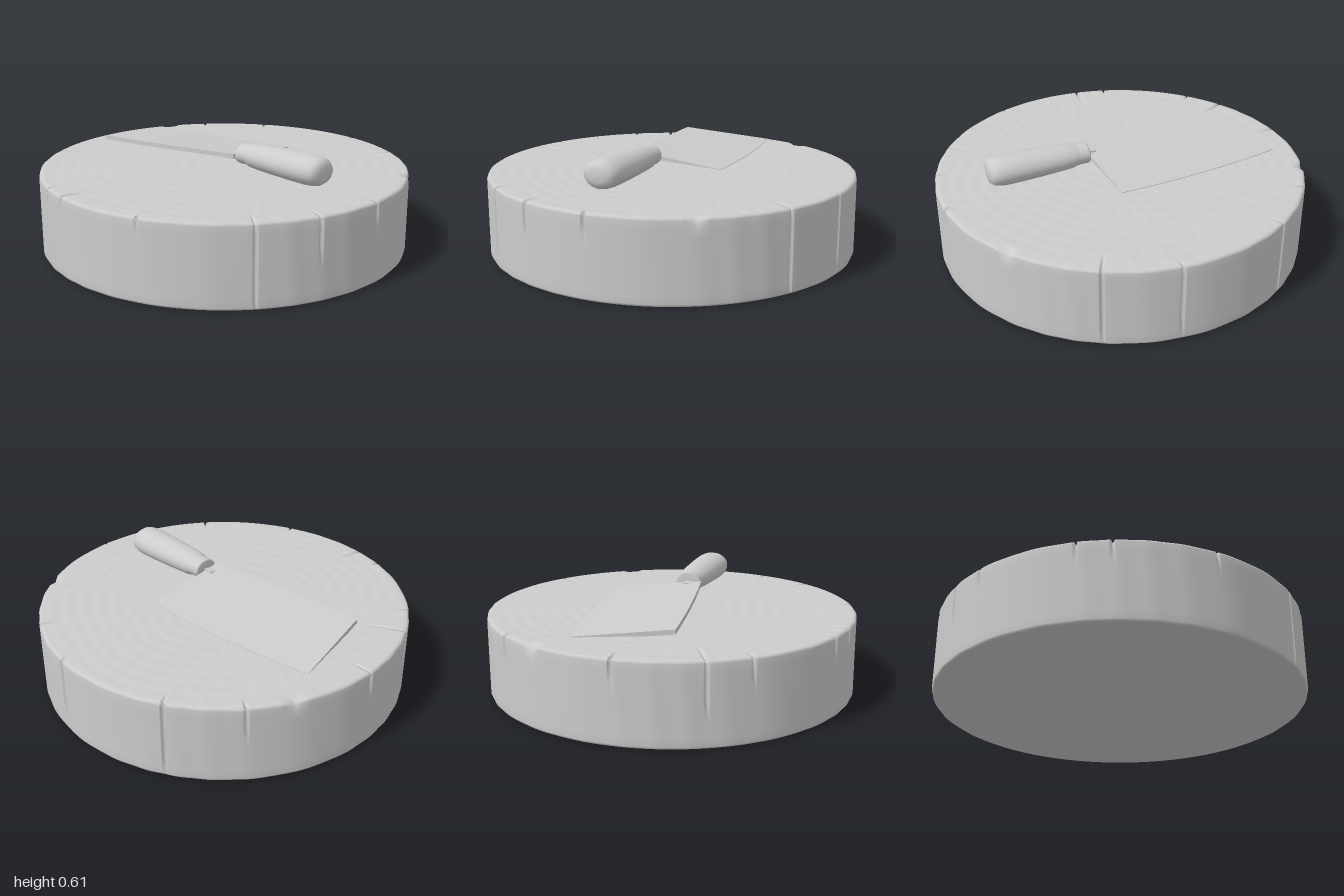
import * as THREE from 'three';
import { mergeVertices } from 'three/addons/utils/BufferGeometryUtils.js';

const clamp = THREE.MathUtils.clamp;
const lerp = THREE.MathUtils.lerp;
const SEGMENTS = 720;
const STEP = (Math.PI * 2) / SEGMENTS;
const HEIGHT = 0.428;

// Rim splits: x, z, length inward, fraction of the side they run down
const CRACKS = [
  [-0.55, -0.83, 0.08, 1], [0.43, -0.9, 0.13, 1], [0.06, -1, 0.04, 0.9],
  [-0.83, -0.56, 0.07, 0.4], [-1, 0.1, 0.12, 0.3], [-0.86, 0.52, 0.22, 0.6],
  [-0.72, 0.69, 0.06, 0.3], [-0.25, 0.96, 0.06, 0.25], [-0.08, 1, 0.17, 0.25],
  [0.42, 0.9, 0.05, 0.2], [0.84, 0.55, 0.1, 1], [0.97, 0.25, 0.1, 0.5], [1, -0.11, 0.05, 0.3],
].map(([x, z, length, drop]) => ({ angle: Math.round(Math.atan2(x, z) / STEP) * STEP, length, drop }));

// Chipped spots on the top rim
const CHIPS = [[0.8, -0.6], [-0.93, -0.35]].map(([x, z]) => Math.atan2(x, z));

const angleGap = (a, b) => Math.abs(Math.atan2(Math.sin(a - b), Math.cos(a - b)));

function blockGeometry() {
  const profile = [[0, 0], [0.5, 0], [0.9, 0], [0.985, 0], [0.996, 0.005], [1, 0.015]];
  for (let i = 1; i < 10; i++) profile.push([1, lerp(0.015, HEIGHT - 0.015, i / 10)]);
  profile.push([1, HEIGHT - 0.015], [0.996, HEIGHT - 0.005], [0.985, HEIGHT]);
  for (let r = 0.97; r > 0.01; r -= 0.02) profile.push([r, HEIGHT]);
  profile.push([0, HEIGHT]);

  let geometry = new THREE.LatheGeometry(profile.map(([r, y]) => new THREE.Vector2(r, y)), SEGMENTS);
  geometry.deleteAttribute('uv');
  geometry.deleteAttribute('normal');
  geometry = mergeVertices(geometry, 1e-5);

  const pos = geometry.attributes.position;
  for (let i = 0; i < pos.count; i++) {
    const x = pos.getX(i), y0 = pos.getY(i), z = pos.getZ(i);
    const r = Math.hypot(x, z), a = Math.atan2(x, z);
    let y = y0, shrink = 0;

    // Growth rings and radial grain on the top
    if (y0 >= HEIGHT - 0.001 && r < 0.98) {
      y += 0.0012 * Math.sin(r * 75 + 1.5 * Math.sin(a * 3) + Math.sin(a * 7));
      y += 0.001 * r * Math.sin(a * 53 + 2 * Math.sin(r * 9)) * Math.sin(a * 17 + r * 11);
    }
    // Faint vertical ripples on the bark side
    if (r > 0.99) shrink += 0.0015 * (1 + Math.sin(a * 31 + Math.sin(a * 5) * 2 + y0 * 3));

    for (const crack of CRACKS) {
      const near = Math.max(0, 1 - angleGap(a, crack.angle) * r / 0.0085);
      if (!near) continue;
      if (y0 > HEIGHT - 0.006) y -= 0.03 * near * clamp((r - 1 + crack.length) / crack.length, 0, 1);
      const down = (HEIGHT - y0) / HEIGHT;
      if (r > 0.98 && y0 > 0.01) shrink += 0.022 * near * clamp((crack.drop - down) * 5 + 0.1, 0, 1);
    }
    for (const chip of CHIPS) {
      const near = Math.max(0, 1 - angleGap(a, chip) / 0.06);
      if (r > 0.95 && y0 > HEIGHT - 0.02) {
        y -= 0.018 * near * (r - 0.95) * 20;
        shrink += 0.012 * near;
      }
    }
    const k = r > 0.01 ? (r - shrink) / r : 1;
    pos.setXYZ(i, x * k, y, z * k);
  }
  geometry.computeVertexNormals();
  return geometry;
}

// Tapered wedge: thick spine toward +z, sharp bowed edge toward -z
function bladeGeometry() {
  const geometry = new THREE.BoxGeometry(1, 1, 1, 20, 1, 12);
  const edgeTip = new THREE.Vector3(-0.84, 0.46, -0.185);
  const edgeHeel = new THREE.Vector3(0.13, 0.486, -0.37);
  const spineTip = new THREE.Vector3(-0.7, 0.51, 0.3);
  const spineHeel = new THREE.Vector3(0.19, 0.54, 0.1);
  const pos = geometry.attributes.position;
  const edge = new THREE.Vector3(), p = new THREE.Vector3();
  for (let i = 0; i < pos.count; i++) {
    const u = pos.getX(i) + 0.5, v = pos.getZ(i) + 0.5, below = pos.getY(i) < 0;
    edge.lerpVectors(edgeTip, edgeHeel, u);
    edge.z -= 0.1 * u * (1 - u);
    p.lerpVectors(spineTip, spineHeel, u);
    p.z += 0.04 * u * (1 - u);
    p.lerpVectors(edge, p, v);
    if (below) p.y -= lerp(0.003, 0.024, Math.min(1, v * 1.3));
    pos.setXYZ(i, p.x, p.y, p.z);
  }
  geometry.computeVertexNormals();
  return geometry;
}

// Oval turned handle with a narrow collar and a rounded butt
function handleGeometry() {
  const collar = [[0, 0], [0.06, 0], [0.068, 0.005], [0.07, 0.012], [0.069, 0.05], [0.073, 0.08]];
  const grip = [[0.08, 0.092], [0.085, 0.15], [0.091, 0.25], [0.096, 0.36], [0.098, 0.46],
    [0.095, 0.5], [0.087, 0.53], [0.07, 0.549], [0.04, 0.557], [0, 0.559]];
  const points = [...collar, ...grip].map(([r, h]) => new THREE.Vector2(r, h));
  const geometry = new THREE.LatheGeometry(points, 48);
  geometry.rotateZ(-Math.PI / 2);
  geometry.scale(1, 0.79, 1);
  return geometry;
}

export function createModel() {
  const model = new THREE.Group();
  model.name = 'choppingBlockWithCleaver';
  const grey = new THREE.MeshStandardMaterial({ color: 0xcccccc });
  grey.name = 'light grey';

  const add = (parent, name, geometry) => {
    const mesh = new THREE.Mesh(geometry, grey);
    mesh.name = name;
    parent.add(mesh);
    return mesh;
  };

  add(model, 'choppingBlock', blockGeometry());

  const cleaver = new THREE.Group();
  cleaver.name = 'cleaver';
  model.add(cleaver);
  add(cleaver, 'blade', bladeGeometry());

  const handle = add(cleaver, 'handle', handleGeometry());
  handle.position.set(0.182, 0.533, 0.024);
  handle.rotation.y = 0.065;

  // Short tang joining the blade to the handle
  const tang = add(cleaver, 'tang', new THREE.BoxGeometry(0.09, 0.022, 0.08));
  tang.position.set(0.18, 0.524, 0.05);
  tang.rotation.set(0.1, 0.1, 0.05);

  return model;
}
